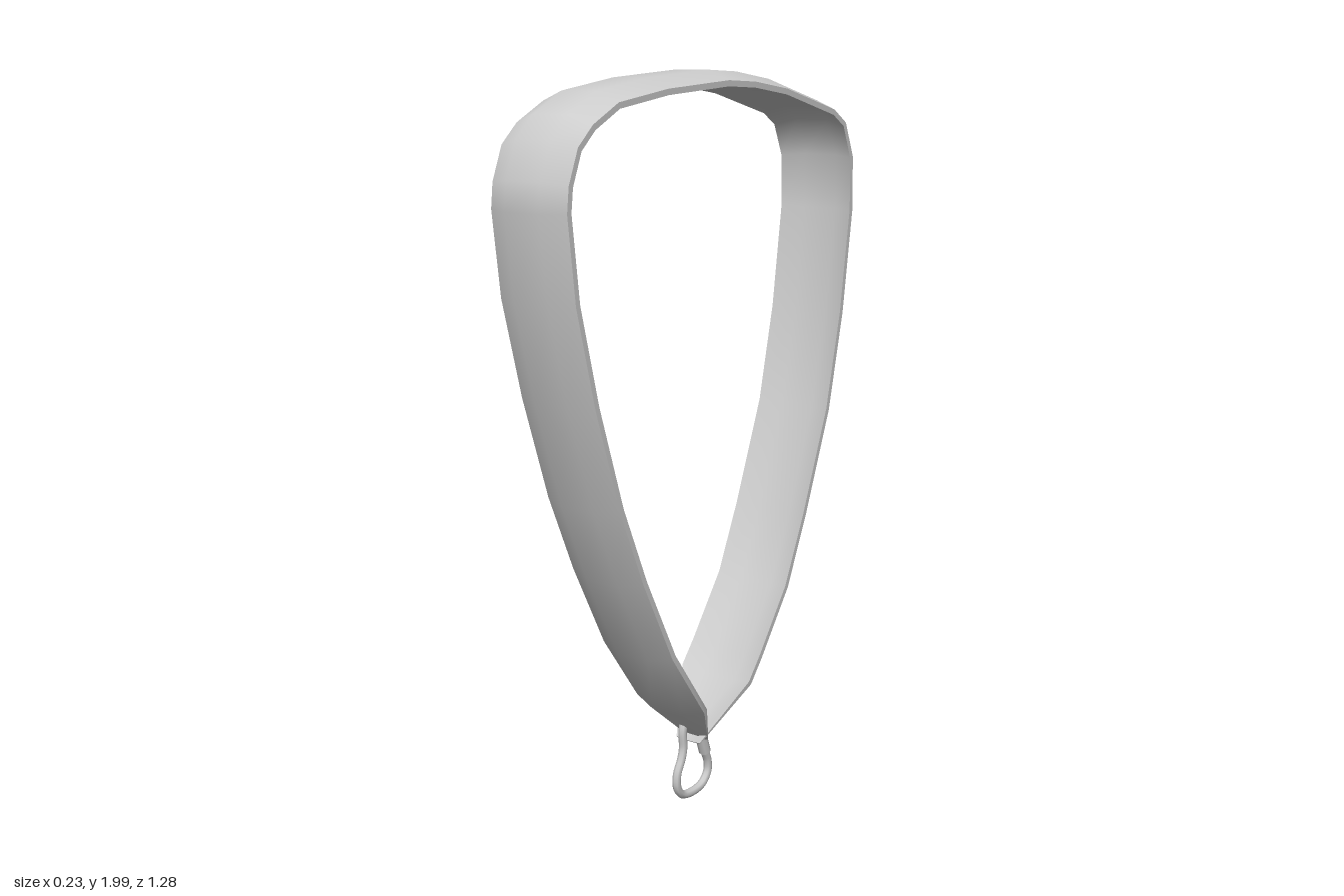
import * as THREE from 'three';

const grey = new THREE.MeshStandardMaterial({ color: 0xcccccc, side: THREE.DoubleSide });

// Centre line of the strap's outer face as [z, y], front tip over the top to back tip
const PATH = [
  [-0.018, 0.18], [0.117, 0.305], [0.26, 0.507], [0.38, 0.745], [0.47, 0.957], [0.557, 1.227],
  [0.62, 1.477], [0.645, 1.69], [0.637, 1.76], [0.6, 1.85], [0.54, 1.905], [0.44, 1.955], [0.25, 1.983],
  [0, 2], [-0.12, 1.995], [-0.27, 1.975], [-0.51, 1.915], [-0.583, 1.87], [-0.63, 1.765],
  [-0.635, 1.61], [-0.594, 1.318], [-0.53, 1.042], [-0.415, 0.75], [-0.325, 0.555],
  [-0.195, 0.38], [-0.14, 0.315], [0.012, 0.18],
];

// Bowed cross-section at one path point: outer face left to right, inner face back
function section(i) {
  const [z, y] = PATH[i];
  const a = PATH[Math.max(i - 1, 0)], b = PATH[Math.min(i + 1, PATH.length - 1)];
  const len = Math.hypot(b[0] - a[0], b[1] - a[1]);
  const nz = (b[1] - a[1]) / len, ny = -(b[0] - a[0]) / len;
  const tip = i === 0 || i === PATH.length - 1;
  const half = tip ? 0.04 : 0.115;
  const bow = tip ? 0.004 : 0.025, thick = tip ? 0.004 : 0.015;
  const point = (u, depth) => {
    const d = depth + (Math.abs(u) === 1 ? bow : 0);
    return [u * half, y - ny * d, z - nz * d];
  };
  const cols = [-1, -0.45, 0.45, 1];
  return [...cols.map(u => point(u, 0)), ...cols.reverse().map(u => point(u, thick))];
}

function strapGeometry() {
  const rows = PATH.map((_, i) => section(i));
  const pos = [], index = [];
  // Separate runs keep the long edges sharp and the faces smooth
  for (const run of [[0, 1, 2, 3], [3, 4], [4, 5, 6, 7], [7, 0]]) {
    const base = pos.length / 3, n = run.length;
    rows.forEach((row, r) => {
      run.forEach(k => pos.push(...row[k]));
      if (r === 0) return;
      for (let c = 0; c < n - 1; c++) {
        const p = base + (r - 1) * n + c, q = p + n;
        index.push(p, p + 1, q + 1, p, q + 1, q);
      }
    });
  }
  // End caps
  [rows[0], rows[rows.length - 1]].forEach((row, e) => {
    const base = pos.length / 3;
    row.forEach(p => pos.push(...p));
    for (let c = 0; c < 3; c++) {
      const a = base + c, b = a + 1, d = base + 7 - c, f = d - 1;
      if (e) index.push(a, b, f, a, f, d);
      else index.push(a, f, b, a, d, f);
    }
  });
  const g = new THREE.BufferGeometry();
  g.setAttribute('position', new THREE.Float32BufferAttribute(pos, 3));
  g.setIndex(index);
  g.computeVertexNormals();
  return g;
}

export function createModel() {
  const model = new THREE.Group();
  const add = (name, geometry) => {
    const mesh = new THREE.Mesh(geometry, grey);
    mesh.name = name;
    model.add(mesh);
    return mesh;
  };

  add('strap', strapGeometry());

  // Pear-shaped clip, narrow at the top and round at the bottom, as [z, y]
  const clip = [
    [0, 0.263], [0.03, 0.252], [0.042, 0.222], [0.04, 0.17], [0.048, 0.14], [0.068, 0.1],
    [0.068, 0.062], [0.045, 0.032], [0, 0.022], [-0.05, 0.03], [-0.075, 0.058], [-0.075, 0.092],
    [-0.055, 0.135], [-0.043, 0.17], [-0.043, 0.222], [-0.03, 0.252],
  ].map(([z, y]) => new THREE.Vector3(0, y, z));
  add('clipRing', new THREE.TubeGeometry(new THREE.CatmullRomCurve3(clip, true), 64, 0.012, 8, true));

  // Small sleeve where the clip's gate closes
  const gate = new THREE.LineCurve3(new THREE.Vector3(0, 0.172, -0.045), new THREE.Vector3(0, 0.122, -0.063));
  add('clipGateSleeve', new THREE.TubeGeometry(gate, 1, 0.017, 8, false));

  return model;
}
